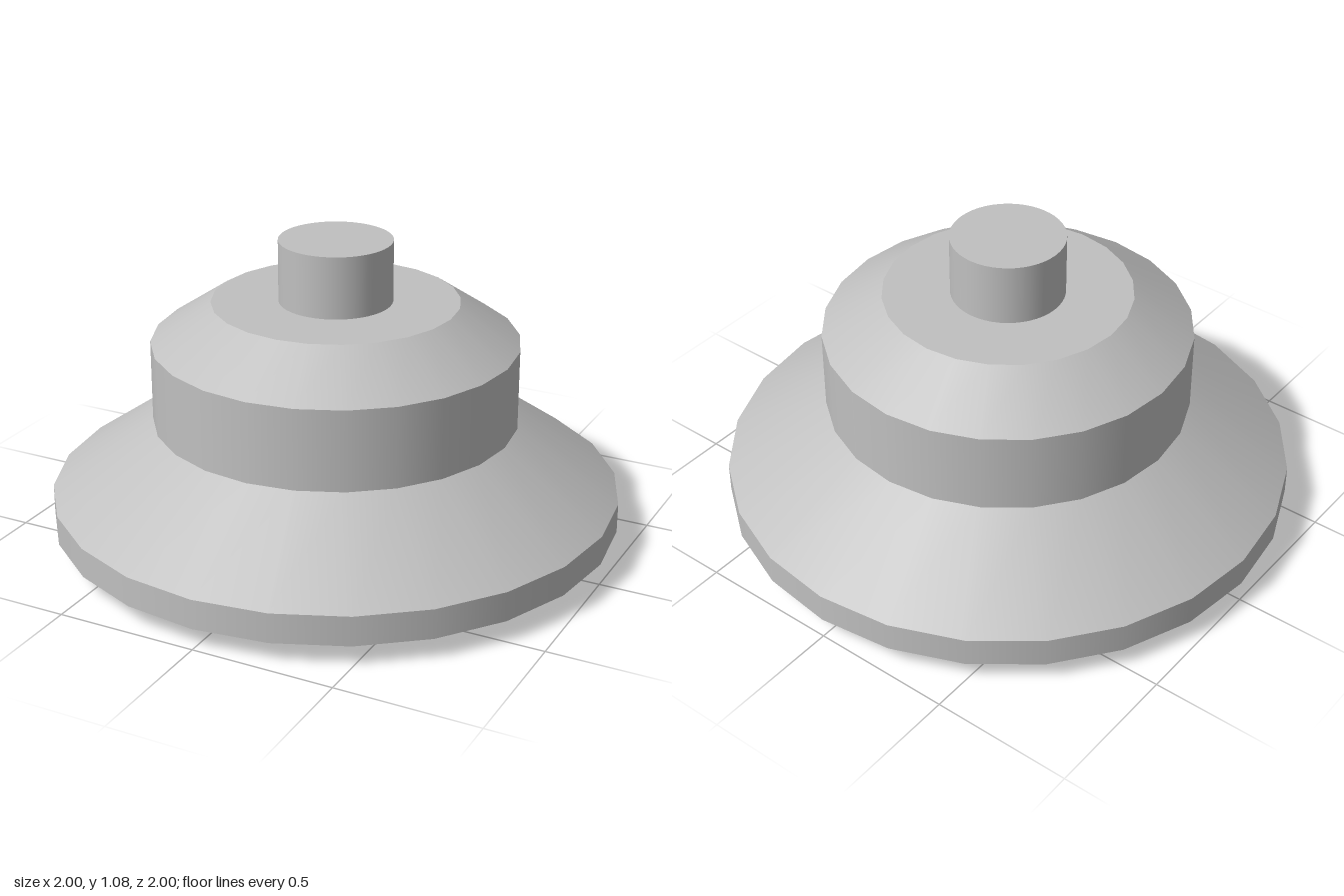
import * as THREE from 'three';

export function createModel() {
  const group = new THREE.Group();
  group.name = 'steppedKnob';
  const grey = new THREE.MeshStandardMaterial({ color: 0xc0c0c0 });
  grey.name = 'plain grey';

  // One ring of the turned body, smooth around and sharp at its rims
  function ring(name, rBottom, yBottom, rTop, yTop, sides = 24) {
    const h = yTop - yBottom;
    const mesh = new THREE.Mesh(new THREE.CylinderGeometry(rTop, rBottom, h, sides, 1, true), grey);
    mesh.position.y = yBottom + h / 2;
    mesh.name = name;
    group.add(mesh);
  }

  // Flat disc closing an end, facing up (1) or down (-1)
  function disc(name, r, y, facing, sides = 24) {
    const mesh = new THREE.Mesh(new THREE.CircleGeometry(r, sides), grey);
    mesh.rotation.x = -facing * Math.PI / 2;
    mesh.position.y = y;
    mesh.name = name;
    group.add(mesh);
  }

  // Base
  disc('underside', 0.57, 0, -1);
  ring('undersideBevel', 0.57, 0, 1, 0.075);
  ring('baseRim', 1, 0.075, 1, 0.18);
  ring('baseSlope', 1, 0.18, 0.64, 0.432);

  // Upper drum
  ring('drum', 0.64, 0.432, 0.64, 0.717);
  ring('drumSlope', 0.64, 0.717, 0.43, 0.858);
  disc('drumTop', 0.43, 0.858, 1);

  // Central stem
  ring('stem', 0.197, 0.858, 0.197, 1.076, 48);
  disc('stemTop', 0.197, 1.076, 1, 48);

  return group;
}
